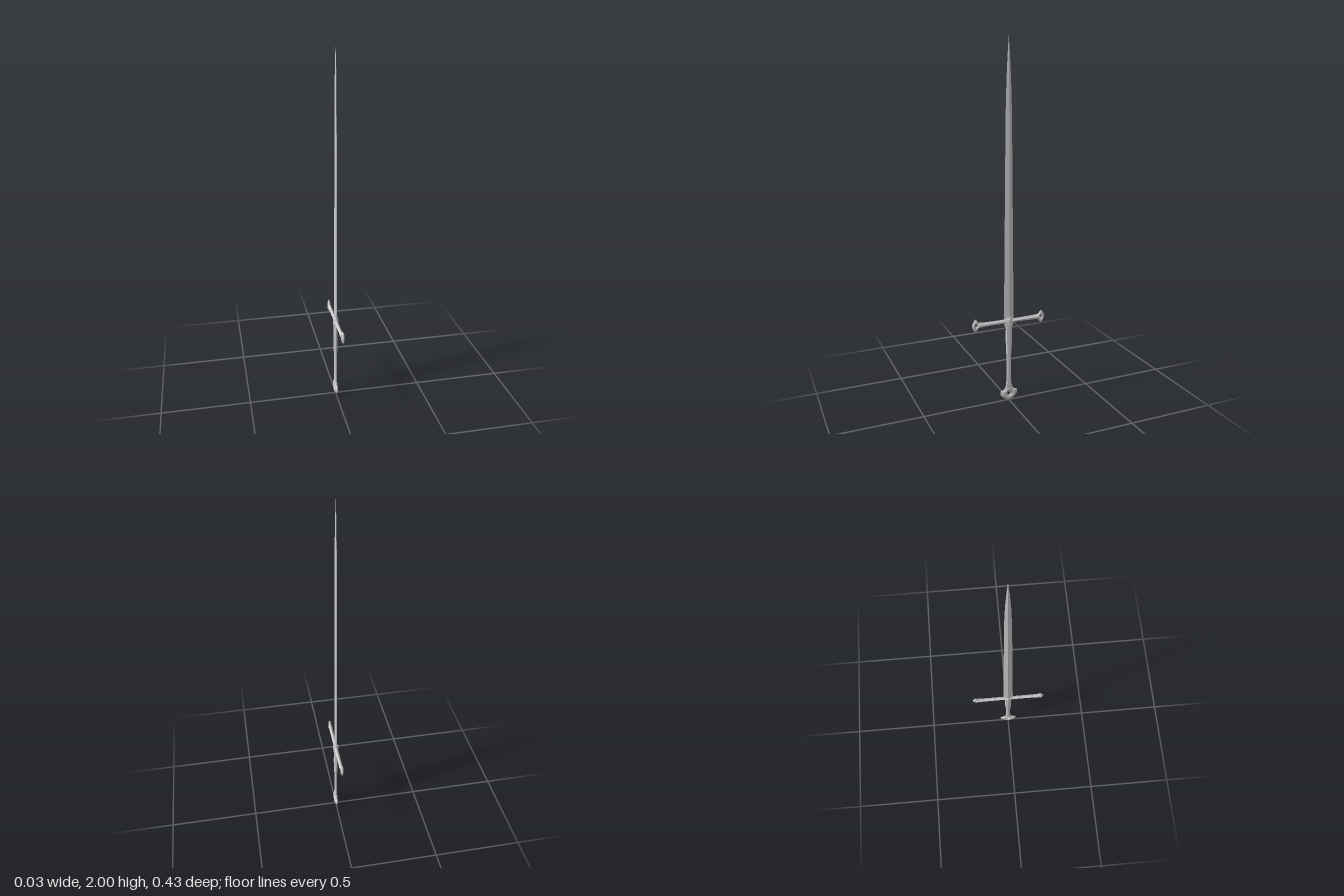
import * as THREE from 'three';

const steel = new THREE.MeshStandardMaterial({ color: 0xcccccc, flatShading: true });

// Skins a list of equal-sized closed rings; wrap joins the last ring to the first.
function loft(name, rings, wrap = false) {
  const pos = [], n = rings[0].length;
  for (let i = 0; i < rings.length - (wrap ? 0 : 1); i++) {
    const lo = rings[i], hi = rings[(i + 1) % rings.length];
    for (let j = 0; j < n; j++) {
      const k = (j + 1) % n;
      pos.push(...lo[j], ...lo[k], ...hi[k], ...lo[j], ...hi[k], ...hi[j]);
    }
  }
  const geo = new THREE.BufferGeometry();
  geo.setAttribute('position', new THREE.Float32BufferAttribute(pos, 3));
  geo.computeVertexNormals();
  const mesh = new THREE.Mesh(geo, steel);
  mesh.name = name;
  return mesh;
}

// Diamond cross-sections up the y axis: [y, half depth z, half thickness x]
const diamonds = (sections) => sections.map(([y, z, x]) =>
  [[x, y, 0], [0, y, -z], [-x, y, 0], [0, y, z]]);

// Eight-sided flattened cross-sections up the y axis
const octagons = (sections) => sections.map(([y, z, x]) =>
  Array.from({ length: 8 }, (_, i) => {
    const a = (i * Math.PI) / 4;
    return [x * Math.cos(a), y, -z * Math.sin(a)];
  }));

// Sharp-edged plate around a diamond hole at the origin.
// half lists [z, y] from top to bottom on the +z side.
function piercedPlate(name, half, hole, thick) {
  const outline = [...half, ...half.slice(1, -1).reverse().map(([z, y]) => [-z, y])];
  const inner = outline.map(([z, y]) => {
    const s = hole / (Math.abs(z) + Math.abs(y));
    return [z * s, y * s];
  });
  const ring = (t, x) => outline.map(([z, y], i) =>
    [x, y + (inner[i][1] - y) * t, z + (inner[i][0] - z) * t]);
  return loft(name, [ring(0, 0), ring(0.5, thick), ring(1, thick * 0.4),
    ring(1, -thick * 0.4), ring(0.5, -thick)], true);
}

export function createModel() {
  const sword = new THREE.Group();
  sword.name = 'sword';

  // Tapering diamond-section blade
  sword.add(loft('blade', diamonds([
    [0.47, 0, 0], [0.47, 0.029, 0.008], [0.8, 0.026, 0.0075], [1.2, 0.022, 0.007],
    [1.6, 0.018, 0.006], [1.78, 0.013, 0.005], [1.9, 0.007, 0.003], [2, 0, 0],
  ])));

  // Grip: thicker upper half, a step, then a waist that flares to the pommel
  sword.add(loft('upperGrip', octagons([
    [0.275, 0, 0], [0.275, 0.015, 0.01], [0.285, 0.017, 0.011],
    [0.37, 0.019, 0.012], [0.46, 0.018, 0.011], [0.46, 0, 0],
  ])));
  sword.add(loft('lowerGrip', octagons([
    [0.06, 0, 0], [0.06, 0.024, 0.006], [0.085, 0.019, 0.008], [0.13, 0.013, 0.008],
    [0.2, 0.013, 0.008], [0.28, 0.015, 0.009], [0.28, 0, 0],
  ])));

  // Collar where blade, guard and grip meet
  sword.add(loft('collar', diamonds([
    [0.44, 0, 0], [0.44, 0.022, 0.012], [0.465, 0.029, 0.016],
    [0.485, 0.029, 0.016], [0.5, 0.026, 0.009], [0.5, 0, 0],
  ])));

  // Crossguard arms with pierced finials, one for each side
  for (const side of [1, -1]) {
    const arm = new THREE.Group();
    arm.name = side > 0 ? 'frontGuardArm' : 'backGuardArm';
    const bar = loft('guardBar', diamonds([
      [0, 0.015, 0.011], [0.04, 0.012, 0.01], [0.1, 0.012, 0.01],
      [0.16, 0.014, 0.0105], [0.183, 0.017, 0.012], [0.183, 0, 0],
    ]));
    bar.rotation.x = Math.PI / 2;
    const finial = piercedPlate('guardFinial', [
      [0, 0.022], [0.012, 0.021], [0.022, 0.009], [0.037, 0], [0.031, -0.012],
      [0.016, -0.02], [0, -0.024],
    ], 0.009, 0.007);
    finial.rotation.x = -Math.PI / 2;
    finial.position.z = 0.193;
    arm.add(bar, finial);
    arm.position.y = 0.476;
    arm.rotation.y = side > 0 ? 0 : Math.PI;
    sword.add(arm);
  }

  // Fan-shaped pierced pommel
  const pommel = piercedPlate('pommel', [
    [0, 0.047], [0.017, 0.045], [0.03, 0.026], [0.052, 0.018], [0.05, -0.006],
    [0.03, -0.028], [0, -0.04],
  ], 0.014, 0.009);
  pommel.position.y = 0.04;
  sword.add(pommel);

  return sword;
}
